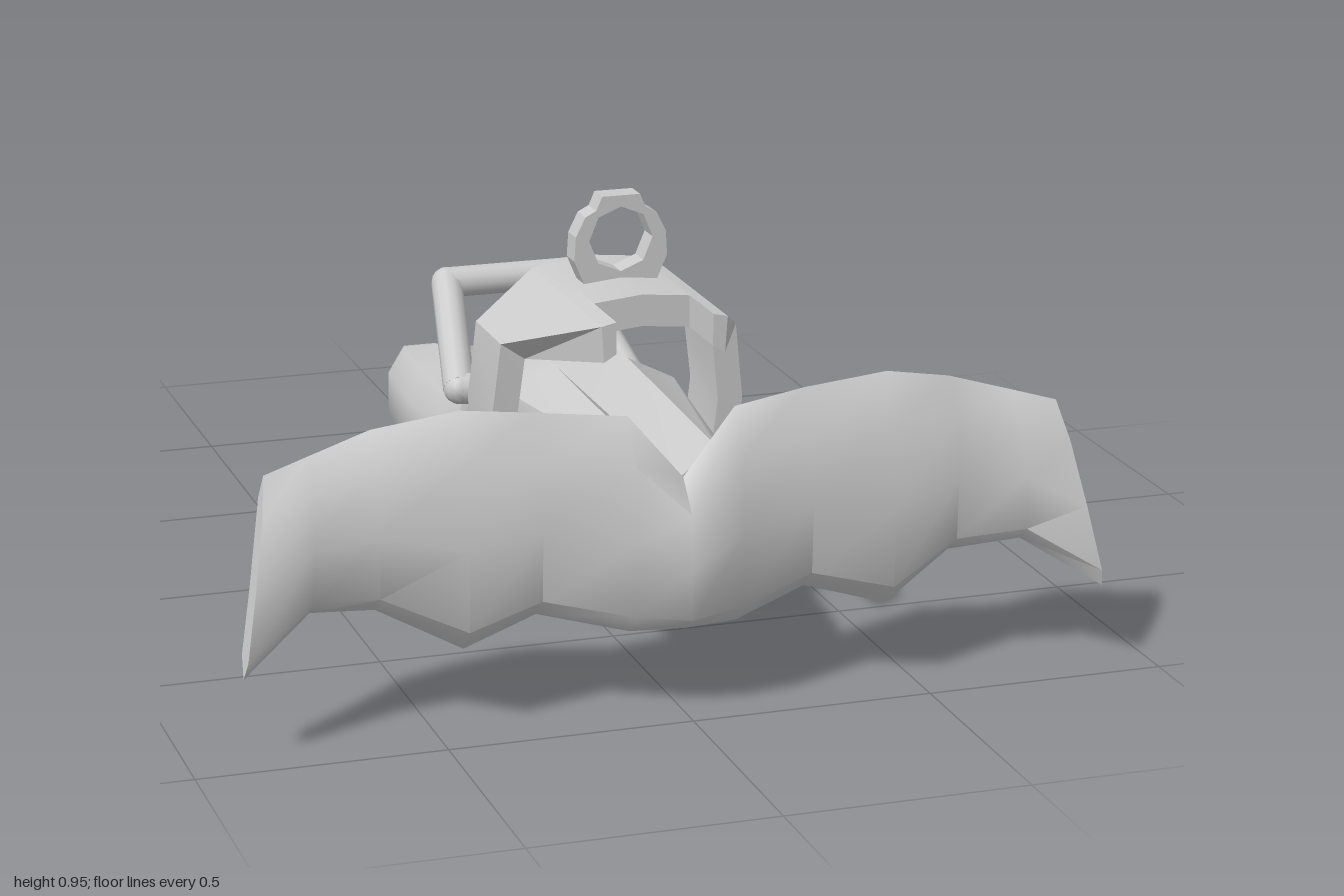
import * as THREE from 'three';
import { toCreasedNormals } from 'three/addons/utils/BufferGeometryUtils.js';

const material = new THREE.MeshStandardMaterial({ color: 0xcccccc, side: THREE.DoubleSide });

// Skin a list of equal-length rings of [x, y, z]; closed joins last ring to first, else the ends are capped.
function loft(rings, closed, crease) {
  const n = rings[0].length, m = rings.length;
  const pos = rings.flat(2), tris = [];
  for (let i = 0; i < (closed ? m : m - 1); i++) {
    const k = (i + 1) % m;
    for (let j = 0; j < n; j++) {
      const a = i * n + j, b = i * n + (j + 1) % n, c = k * n + (j + 1) % n, d = k * n + j;
      tris.push([a, b, c], [a, c, d]);
    }
  }
  if (!closed) {
    for (const i of [0, m - 1]) {
      const centre = pos.length / 3;
      for (let q = 0; q < 3; q++) pos.push(rings[i].reduce((s, p) => s + p[q], 0) / n);
      for (let j = 0; j < n; j++) {
        const a = i * n + j, b = i * n + (j + 1) % n;
        tris.push(i === 0 ? [centre, b, a] : [centre, a, b]);
      }
    }
  }
  // Turn the skin outward if its enclosed volume is negative
  const v = (i) => new THREE.Vector3(pos[i * 3], pos[i * 3 + 1], pos[i * 3 + 2]);
  const volume = tris.reduce((s, [a, b, c]) => s + v(a).dot(v(b).cross(v(c))), 0);
  if (volume < 0) tris.forEach((t) => t.reverse());
  const g = new THREE.BufferGeometry();
  g.setAttribute('position', new THREE.Float32BufferAttribute(pos, 3));
  g.setIndex(tris.flat());
  return toCreasedNormals(g, crease);
}

function add(parent, name, geometry) {
  const mesh = new THREE.Mesh(geometry, material);
  mesh.name = name;
  parent.add(mesh);
  return mesh;
}

// Grooved shaft flowing into the bent, rounded grip
function bodyGeometry() {
  // z, half width, top half width, top y, upper side y, lower side y, bottom y, bottom half width
  const stations = [
    [0.9, 0.10, 0.075, 0.53, 0.51, 0.35, 0.31, 0.06],
    [0.35, 0.18, 0.08, 0.55, 0.50, 0.35, 0.25, 0.08],
    [0.02, 0.145, 0.08, 0.55, 0.47, 0.33, 0.235, 0.07],
    [-0.09, 0.12, 0.05, 0.475, 0.41, 0.27, 0.195, 0.06],
    [-0.22, 0.10, 0.05, 0.40, 0.33, 0.18, 0.10, 0.05],
    [-0.33, 0.09, 0.05, 0.31, 0.24, 0.09, 0.015, 0.05],
    [-0.42, 0.09, 0.05, 0.235, 0.175, 0.07, 0.01, 0.05],
    [-0.60, 0.09, 0.05, 0.217, 0.16, 0.06, 0.005, 0.05],
    [-0.75, 0.09, 0.05, 0.217, 0.155, 0.055, 0, 0.05],
    [-0.91, 0.09, 0.05, 0.23, 0.17, 0.07, 0.02, 0.05],
    [-0.97, 0.06, 0.035, 0.215, 0.175, 0.10, 0.065, 0.035],
    [-1.0, 0.025, 0.015, 0.19, 0.175, 0.15, 0.13, 0.015],
  ];
  return loft(stations.map(([z, w, tw, yt, yu, yl, yb, bw]) => [
    [0, Math.min(yt, 0.47), z], [tw, yt, z], [w, yu, z], [w, yl, z], [bw, yb, z],
    [-bw, yb, z], [-w, yl, z], [-w, yu, z], [-tw, yt, z],
  ]), false, 0.9);
}

// Wavy winged blade across the front
function bladeGeometry() {
  // top x, bottom x, top y, bottom y, centre z, thickness scale, lean
  const half = [
    [0, 0, 0.48, 0.175, 0.935, 1, 0],
    [0.11, 0.11, 0.61, 0.175, 0.92, 1, 0],
    [0.28, 0.28, 0.612, 0.205, 0.85, 1, 0],
    [0.44, 0.44, 0.643, 0.165, 0.89, 1, 0],
    [0.60, 0.60, 0.60, 0.24, 0.825, 1, 0],
    [0.73, 0.74, 0.565, 0.262, 0.855, 0.85, 0.02],
    [0.82, 0.89, 0.54, 0.17, 0.90, 0.5, 0.09],
  ];
  // height fraction and depth offset around the section
  const section = [[0, 0.01], [0.1, 0.055], [0.45, 0.06], [0.8, 0.045], [1, -0.01],
    [0.88, -0.05], [0.45, -0.04], [0.1, -0.05]];
  const ring = (s, side) => section.map(([t, dz]) => [
    side * (s[1] + (s[0] - s[1]) * t), s[3] + (s[2] - s[3]) * t,
    s[4] + dz * s[5] + s[6] * (0.5 - t),
  ]);
  const left = half.slice(1).reverse().map((s) => ring(s, -1));
  return loft([...left, ...half.map((s) => ring(s, 1))], false, 0.95);
}

// Band around the shaft, its top reaching forward as a two-pronged visor
function bandGeometry() {
  // outer x, outer y, inner x, inner y, front z, back z
  const half = [
    [0.10, 0.77, 0.10, 0.705, 0.67, 0.355],
    [0.10, 0.77, 0.10, 0.705, 0.81, 0.355],
    [0.13, 0.763, 0.125, 0.69, 0.81, 0.355],
    [0.25, 0.66, 0.20, 0.625, 0.53, 0.355],
    [0.268, 0.50, 0.215, 0.50, 0.525, 0.355],
    [0.25, 0.34, 0.20, 0.35, 0.515, 0.35],
    [0.09, 0.15, 0.07, 0.21, 0.49, 0.32],
  ];
  const ring = ([ox, oy, ix, iy, zf, zb], s) => [
    [s * ox, oy, zf], [s * ox, oy, zb], [s * ix, iy, zb], [s * ix, iy, zf],
  ];
  return loft([
    ring([0, 0.78, 0, 0.715, 0.67, 0.355], 1),
    ...half.map((h) => ring(h, 1)),
    ...half.slice().reverse().map((h) => ring(h, -1)),
  ], true, 0.4);
}

// Crowned eyelet with an eight-sided hole
function eyeletGeometry() {
  const right = [[0.07, 0.755], [0.098, 0.82], [0.095, 0.87], [0.075, 0.91], [0.052, 0.922], [0.04, 0.95]];
  const outline = [...right, ...right.slice().reverse().map(([x, y]) => [-x, y])];
  const shape = new THREE.Shape(outline.map(([x, y]) => new THREE.Vector2(x, y)));
  const hole = [];
  for (let i = 0; i < 8; i++) {
    const a = (i + 0.0) * Math.PI / 4;
    hole.push(new THREE.Vector2(0.067 * Math.cos(a), 0.86 + 0.067 * Math.sin(a)));
  }
  shape.holes.push(new THREE.Path(hole));
  return new THREE.ExtrudeGeometry(shape, { depth: 0.05, bevelEnabled: false }).translate(0, 0, 0.487);
}

// Curved spur behind the shaft, drawn as (z, y)
function spurGeometry() {
  const pts = [[-0.34, 0.25], [-0.385, 0.265], [-0.415, 0.30], [-0.427, 0.368], [-0.452, 0.32],
    [-0.442, 0.25], [-0.42, 0.2], [-0.37, 0.2]];
  const shape = new THREE.Shape(pts.map(([z, y]) => new THREE.Vector2(z, y)));
  return new THREE.ExtrudeGeometry(shape, { depth: 0.06, bevelEnabled: false })
    .rotateY(-Math.PI / 2).translate(0.03, 0, 0);
}

// Raised bar bent from straight rods with rounded corners
function makeBar() {
  const bar = new THREE.Group();
  bar.name = 'rearBar';
  const r = 0.034;
  const half = [[0.10, 0.41, 0.035], [0.19, 0.415, 0.025], [0.14, 0.575, -0.237]];
  const path = [...half, ...half.slice().reverse().map(([x, y, z]) => [-x, y, z])]
    .map((p) => new THREE.Vector3(...p));
  for (let i = 0; i < path.length - 1; i++) {
    const dir = path[i + 1].clone().sub(path[i]);
    const rod = add(bar, 'barRod', new THREE.CylinderGeometry(r, r, dir.length(), 12));
    rod.position.copy(path[i]).addScaledVector(dir, 0.5);
    rod.quaternion.setFromUnitVectors(new THREE.Vector3(0, 1, 0), dir.normalize());
    if (i > 0) add(bar, 'barCorner', new THREE.SphereGeometry(r, 12, 8)).position.copy(path[i]);
  }
  return bar;
}

export function createModel() {
  const model = new THREE.Group();
  model.name = 'wingedTool';
  add(model, 'shaftAndGrip', bodyGeometry());
  add(model, 'wingedBlade', bladeGeometry());
  add(model, 'bandAndVisor', bandGeometry());
  add(model, 'eyelet', eyeletGeometry());
  add(model, 'spur', spurGeometry());
  model.add(makeBar());
  return model;
}
